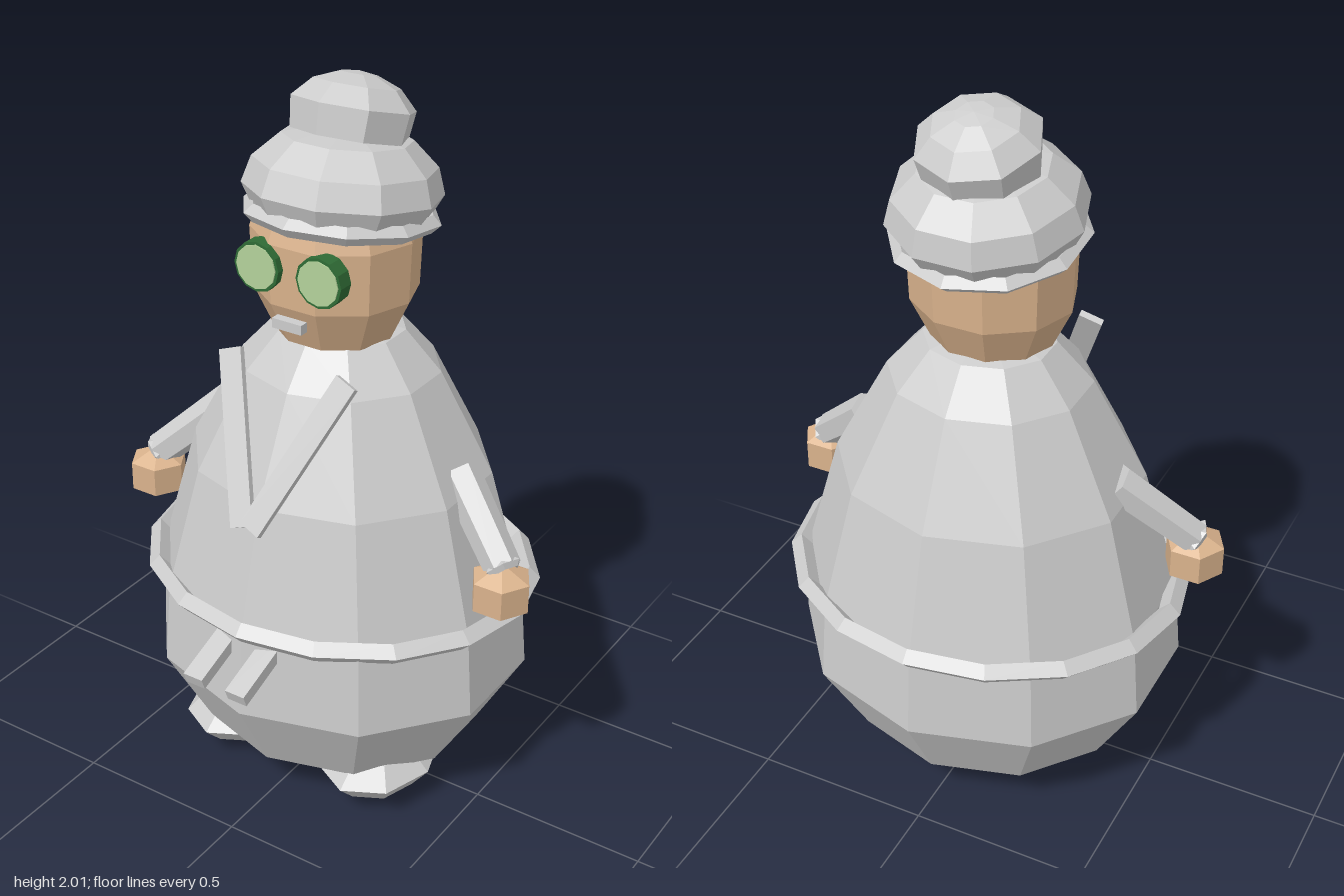
import * as THREE from 'three';

const paint = (color) => new THREE.MeshStandardMaterial({ color, flatShading: true, side: THREE.DoubleSide });
const GREY = paint(0xcccccc);
const SKIN = paint(0xd9b28c);
const RIM = paint(0x2f6b35);
const LENS = paint(0xb3d19a);

export function createModel() {
  const model = new THREE.Group();

  const add = (name, geometry, material, position = [0, 0, 0], parent = model) => {
    const mesh = new THREE.Mesh(geometry, material);
    mesh.name = name;
    mesh.position.set(...position);
    parent.add(mesh);
    return mesh;
  };
  const lathe = (points, sides, turn = 0) =>
    new THREE.LatheGeometry(points.map(([r, y]) => new THREE.Vector2(r, y)), sides, turn);
  // Ring lying flat, with a diamond cross-section
  const ring = (radius, tube, sides) => new THREE.TorusGeometry(radius, tube, 4, sides).rotateX(Math.PI / 2);
  const flat = Math.PI / 10; // turns a ten-sided part so a flat faces forward

  // Coat body: ten-sided, slightly flattened front to back
  const body = add('body', lathe([
    [0, 0.13], [0.415, 0.13], [0.55, 0.36], [0.53, 0.6], [0.43, 0.95],
    [0.28, 1.23], [0.18, 1.34], [0, 1.38],
  ], 10), GREY, [0, 0, -0.045]);
  body.scale.z = 0.9;

  const belt = add('belt', ring(0.545, 0.031, 16), GREY, [0, 0.615, -0.05]);
  belt.scale.z = 0.88;

  // Head
  const head = add('head', lathe([
    [0, 1.32], [0.165, 1.335], [0.222, 1.455], [0.228, 1.62], [0.2, 1.7], [0, 1.74],
  ], 10, flat), SKIN, [0, 0, -0.022]);
  head.scale.z = 0.94;
  add('mouth', new THREE.BoxGeometry(0.09, 0.027, 0.026), GREY, [-0.003, 1.418, 0.188]);

  // Hat leaning back, with a bobble on top
  const hat = new THREE.Group();
  hat.name = 'hat';
  hat.position.set(0, 1.65, -0.045);
  hat.rotation.x = -0.14;
  model.add(hat);
  add('hatBrim', ring(0.24, 0.024, 10).rotateY(flat), GREY, [0, 0, 0], hat);
  add('hatCrown', lathe([
    [0, 0], [0.235, 0.01], [0.262, 0.06], [0.24, 0.13], [0.17, 0.195], [0, 0.23],
  ], 10, flat), GREY, [0, 0, 0], hat);
  const bobble = add('hatBobble', lathe([
    [0, -0.03], [0.155, -0.02], [0.165, 0.06], [0.115, 0.11], [0.05, 0.135], [0, 0.142],
  ], 8), GREY, [0, 1.863, -0.085]);
  bobble.rotation.x = -0.28;

  // Paired parts
  for (const side of [1, -1]) {
    const name = side > 0 ? 'left' : 'right';

    // Goggle: dark rim with a pale lens standing slightly proud
    add(name + 'GoggleRim', new THREE.CylinderGeometry(0.068, 0.068, 0.045, 12).rotateX(Math.PI / 2),
      RIM, [side * 0.094, 1.56, 0.178]);
    add(name + 'GoggleLens', new THREE.CylinderGeometry(0.06, 0.06, 0.02, 12).rotateX(Math.PI / 2),
      LENS, [side * 0.094, 1.56, 0.194]);

    // Sleeve with cuff, and hand
    const shoulder = new THREE.Vector3(side * 0.37, 0.995, -0.05);
    const wrist = new THREE.Vector3(side * 0.565, 0.815, 0.045);
    const along = wrist.clone().sub(shoulder);
    const arm = new THREE.Group();
    arm.name = name + 'Arm';
    arm.position.copy(shoulder).add(wrist).multiplyScalar(0.5);
    arm.quaternion.setFromUnitVectors(new THREE.Vector3(0, 1, 0), along.clone().normalize());
    model.add(arm);
    add(name + 'Sleeve', new THREE.CylinderGeometry(0.05, 0.056, along.length(), 6), GREY, [0, 0, 0], arm);
    add(name + 'Cuff', ring(0.04, 0.014, 6), GREY, [0, along.length() / 2, 0], arm);
    const hand = add(name + 'Hand', new THREE.SphereGeometry(0.095, 6, 3), SKIN, [side * 0.567, 0.752, 0.055]);
    hand.scale.y = 0.87;

    // Lapel: a flat strip of the V collar
    const top = new THREE.Vector3(side * 0.18, 1.31, 0.2);
    const tip = new THREE.Vector3(side * 0.012, 0.92, 0.395);
    const run = tip.clone().sub(top);
    const yAxis = run.clone().normalize();
    const zAxis = new THREE.Vector3(0, -run.z, run.y).normalize().negate();
    const xAxis = yAxis.clone().cross(zAxis);
    const lapel = add(name + 'Lapel', new THREE.BoxGeometry(0.066, run.length(), 0.018), GREY,
      top.clone().add(tip).multiplyScalar(0.5).toArray());
    lapel.quaternion.setFromRotationMatrix(new THREE.Matrix4().makeBasis(xAxis, yAxis, zAxis));

    // Belt tail sticking out in front
    const tail = add(name + 'BeltTail', new THREE.BoxGeometry(0.06, 0.036, 0.24), GREY, [side * 0.068, 0.546, 0.44]);
    tail.rotation.x = 0.36;

    // Shoe
    const shoe = add(name + 'Shoe', lathe([
      [0, 0], [0.11, 0.035], [0.16, 0.1], [0.11, 0.15], [0, 0.165],
    ], 8), GREY, [side * 0.232, 0, 0.1]);
    shoe.scale.z = 1.28;
  }

  return model;
}
